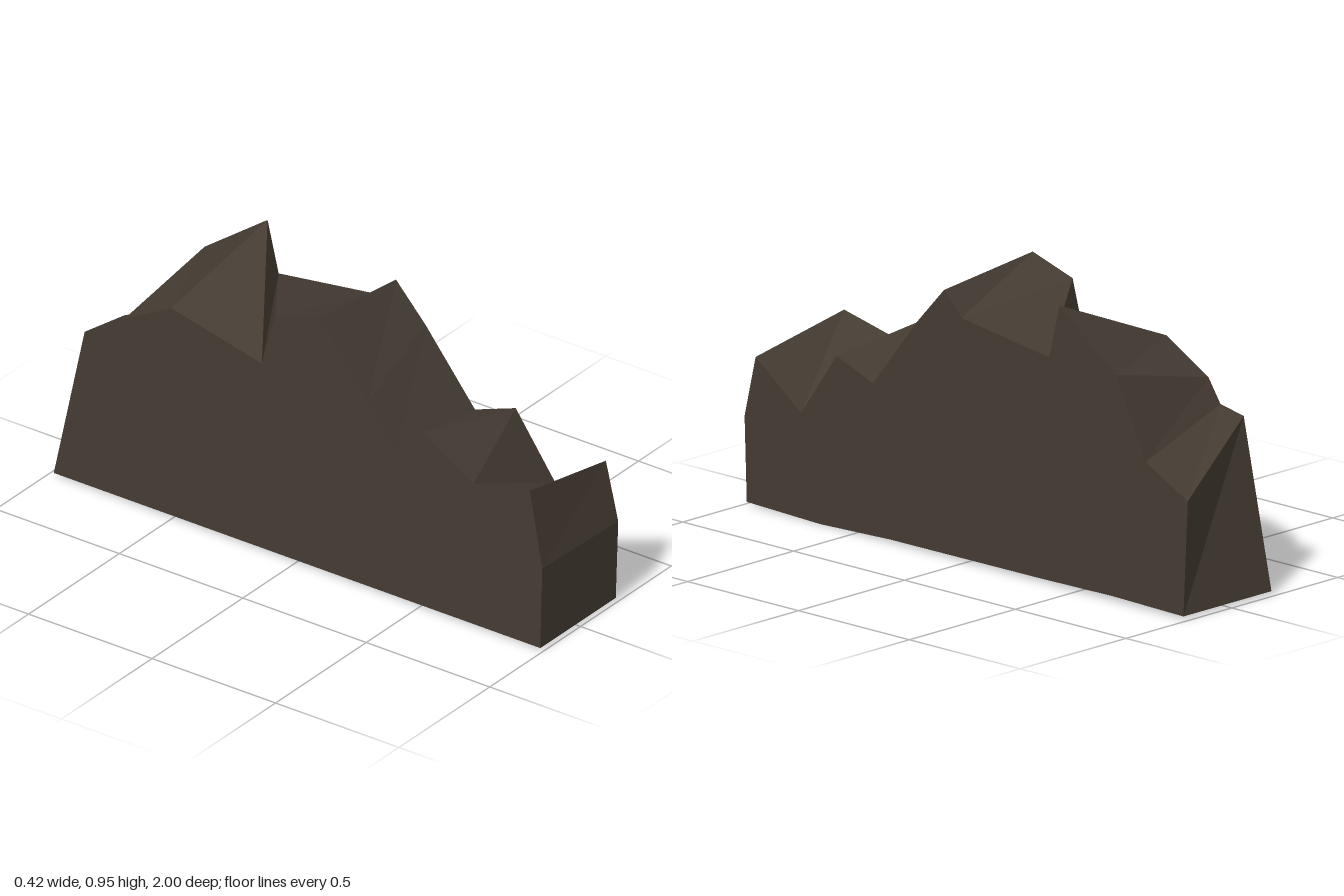
import * as THREE from 'three';

// Ridge outlines as [z, y], from the back foot over the crest to the front foot, then along the base
const LEFT = [
  [-0.98, 0.01], [-1.0, 0.405], [-0.81, 0.5], [-0.675, 0.77], [-0.42, 0.955],
  [-0.375, 0.77], [0.02, 0.825], [0.1, 0.905], [0.22, 0.775], [0.42, 0.525],
  [0.585, 0.585], [0.745, 0.36], [0.95, 0.51], [1.0, 0.3], [0.99, 0.01],
  [0.66, 0], [0.34, 0.01], [-0.33, 0.012], [-0.66, 0.016],
];
const RIGHT = [
  [-0.98, 0.01], [-0.855, 0.58], [-0.75, 0.6], [-0.696, 0.68], [-0.505, 0.785],
  [-0.137, 0.7], [-0.083, 0.895], [0.097, 0.95], [0.292, 0.7], [0.407, 0.54],
  [0.515, 0.66], [0.72, 0.535], [0.948, 0.585], [0.998, 0.31], [0.99, 0.01],
  [0.66, 0.01], [0.34, 0.01], [-0.33, 0.01], [-0.66, 0.01],
];
const HALF_WIDTH = 0.208;

function geometryFrom(triangles) {
  const geometry = new THREE.BufferGeometry();
  geometry.setAttribute('position', new THREE.Float32BufferAttribute(triangles.flat(2), 3));
  geometry.computeVertexNormals();
  return geometry;
}

const place = (outline, x) => outline.map(([z, y]) => [x, y, z]);

// Facets joining the two outlines
function shellGeometry() {
  const a = place(LEFT, HALF_WIDTH);
  const b = place(RIGHT, -HALF_WIDTH);
  const triangles = [];
  for (let i = 0; i < a.length; i++) {
    const j = (i + 1) % a.length;
    triangles.push([a[i], b[i], b[j]], [a[i], b[j], a[j]]);
  }
  return geometryFrom(triangles);
}

// Flat side wall facing along the sign of x
function wallGeometry(outline, x) {
  const points = place(outline, x);
  const contour = outline.map(([z, y]) => new THREE.Vector2(z, y));
  const triangles = THREE.ShapeUtils.triangulateShape(contour, []).map(([i, j, k]) => {
    const [p, q, r] = [contour[i], contour[j], contour[k]];
    const area = (q.x - p.x) * (r.y - p.y) - (q.y - p.y) * (r.x - p.x);
    const order = area * x < 0 ? [i, j, k] : [i, k, j];
    return order.map((n) => points[n]);
  });
  return geometryFrom(triangles);
}

export function createModel() {
  const group = new THREE.Group();
  group.name = 'rockRidge';
  const rock = new THREE.MeshStandardMaterial({ color: 0x443b32, flatShading: true });
  rock.name = 'dark brown rock';

  const add = (name, geometry) => {
    const mesh = new THREE.Mesh(geometry, rock);
    mesh.name = name;
    group.add(mesh);
  };
  add('ridgeFacets', shellGeometry());
  add('leftWall', wallGeometry(LEFT, HALF_WIDTH));
  add('rightWall', wallGeometry(RIGHT, -HALF_WIDTH));
  return group;
}
